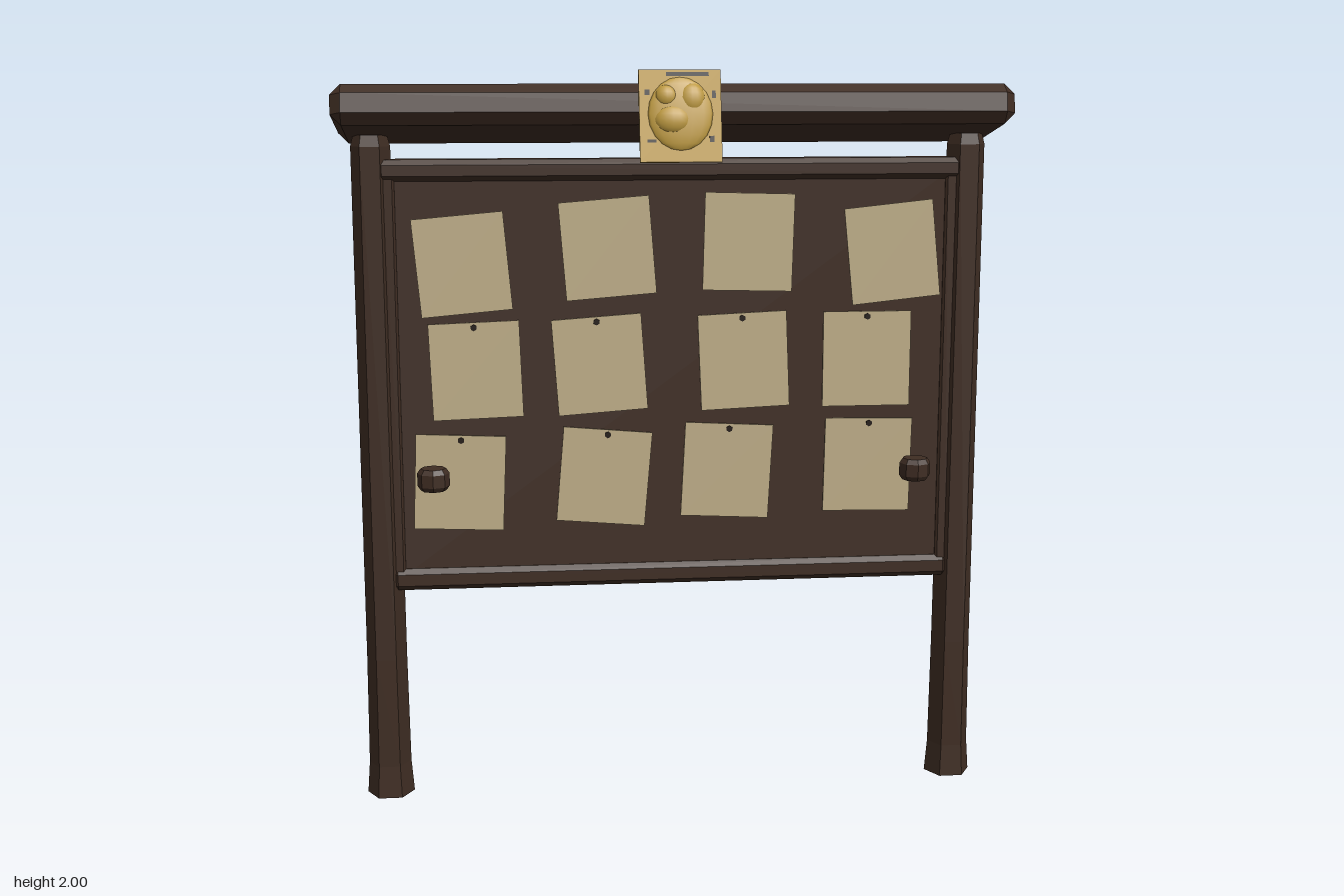
import * as THREE from 'three';
import { ConvexGeometry } from 'three/addons/geometries/ConvexGeometry.js';

const mat = (name, color) => {
  const m = new THREE.MeshStandardMaterial({ color });
  m.name = name;
  return m;
};

// Box with every edge and corner cut off by c
function chamferBox(w, h, d, c) {
  const pts = [];
  const [x, y, z] = [w / 2, h / 2, d / 2];
  for (const i of [-1, 1]) for (const j of [-1, 1]) for (const k of [-1, 1]) {
    pts.push(
      new THREE.Vector3(i * x, j * (y - c), k * (z - c)),
      new THREE.Vector3(i * (x - c), j * y, k * (z - c)),
      new THREE.Vector3(i * (x - c), j * (y - c), k * z));
  }
  return new ConvexGeometry(pts);
}

// Faceted turned shape from [radius, height] pairs, with a flat face to the front
function faceted(profile, sides) {
  const pts = profile.map(([r, y]) => new THREE.Vector2(r, y));
  const g = new THREE.LatheGeometry(pts, sides, Math.PI / 2).toNonIndexed();
  g.computeVertexNormals();
  return g;
}

export function createModel() {
  const model = new THREE.Group();
  const wood = mat('dark wood', 0x3f2d23);
  const paper = mat('parchment', 0xbfae88);
  const gold = mat('gold', 0xbd993f);
  const dark = mat('dark iron', 0x211812);

  const add = (name, geo, material, x, y, z, parent = model) => {
    const mesh = new THREE.Mesh(geo, material);
    mesh.name = name;
    mesh.position.set(x, y, z);
    parent.add(mesh);
    return mesh;
  };

  // Posts with flared feet, and the two knobs in front of the board
  const post = faceted([[0, 0], [0.065, 0], [0.058, 0.09], [0.055, 0.4],
    [0.052, 1.8], [0.044, 1.83], [0, 1.83]], 6);
  const knob = faceted([[0, -0.03], [0.034, -0.03], [0.043, -0.017],
    [0.043, 0.017], [0.034, 0.03], [0, 0.03]], 8);
  const strip = chamferBox(0.035, 1.1, 0.07, 0.006);
  for (const [side, s] of [['left', 1], ['right', -1]]) {
    add(side + 'Post', post, wood, s * 0.8, 0, -0.035);
    add(side + 'Knob', knob, wood, s * 0.655, 0.925, 0.08);
    add(side + 'FrameStrip', strip, wood, s * 0.757, 1.18, -0.035);
  }

  // Notice board between its rails
  add('board', new THREE.BoxGeometry(1.5, 1.1, 0.05), wood, 0, 1.18, -0.033);
  add('topRail', chamferBox(1.57, 0.057, 0.085, 0.014), wood, 0, 1.737, -0.035);
  add('bottomRail', chamferBox(1.55, 0.06, 0.085, 0.014), wood, 0, 0.625, -0.035);

  // Sloping roof beam
  const roof = add('roof', chamferBox(1.78, 0.106, 0.32, 0.028), wood, 0, 1.882, -0.02);
  roof.rotation.x = -0.21;

  // Paper notices: x, y, turn in degrees, pinned or not
  const notices = [
    [-0.567, 1.49, 5, 0], [-0.18, 1.53, 4.5, 0], [0.2, 1.543, -1.5, 0], [0.594, 1.512, 6, 0],
    [-0.536, 1.204, 2, 1], [-0.203, 1.215, 4, 1], [0.19, 1.22, 2.5, 1], [0.53, 1.22, 0, 1],
    [-0.586, 0.897, -2.5, 1], [-0.193, 0.905, -5, 1], [0.145, 0.915, -3, 1], [0.538, 0.923, -1, 1],
  ];
  const sheet = new THREE.BoxGeometry(0.243, 0.262, 0.004);
  const pin = new THREE.CylinderGeometry(0.009, 0.009, 0.005, 6);
  pin.rotateX(Math.PI / 2);
  for (const [x, y, turn, pinned] of notices) {
    const notice = new THREE.Group();
    notice.name = 'notice';
    notice.position.set(x, y, pinned ? 0.005 : 0.012);
    notice.rotation.z = THREE.MathUtils.degToRad(turn);
    add('sheet', sheet, paper, 0, 0, 0, notice);
    if (pinned) add('pin', pin, dark, 0, 0.117, 0.003, notice);
    model.add(notice);
  }

  // Leaning gold plaque with a raised boss and engraved marks
  const plaque = new THREE.Group();
  plaque.name = 'plaque';
  plaque.position.set(0, 1.88, 0.15);
  plaque.rotation.x = -0.22;
  model.add(plaque);
  add('plate', new THREE.BoxGeometry(0.212, 0.238, 0.01), gold, 0, 0, 0, plaque);
  const dome = new THREE.SphereGeometry(1, 16, 10);
  const lumps = [[0, 0.005, 0.085, 0.095, 0.016], [-0.02, -0.01, 0.05, 0.04, 0.024],
    [0.03, 0.045, 0.035, 0.04, 0.02], [-0.035, 0.05, 0.03, 0.03, 0.02]];
  for (const [x, y, w, h, d] of lumps) {
    add('boss', dome, gold, x, y, 0.004, plaque).scale.set(w, h, d);
  }
  const mark = new THREE.BoxGeometry(1, 1, 0.003);
  const marks = [[0.02, 0.107, 0.11, 0.01], [-0.075, -0.065, 0.022, 0.008],
    [-0.085, 0.06, 0.012, 0.014], [0.08, -0.06, 0.012, 0.016], [0.087, 0.055, 0.01, 0.02]];
  for (const [x, y, w, h] of marks) {
    add('engraving', mark, dark, x, y, 0.005, plaque).scale.set(w, h, 1);
  }
  return model;
}
